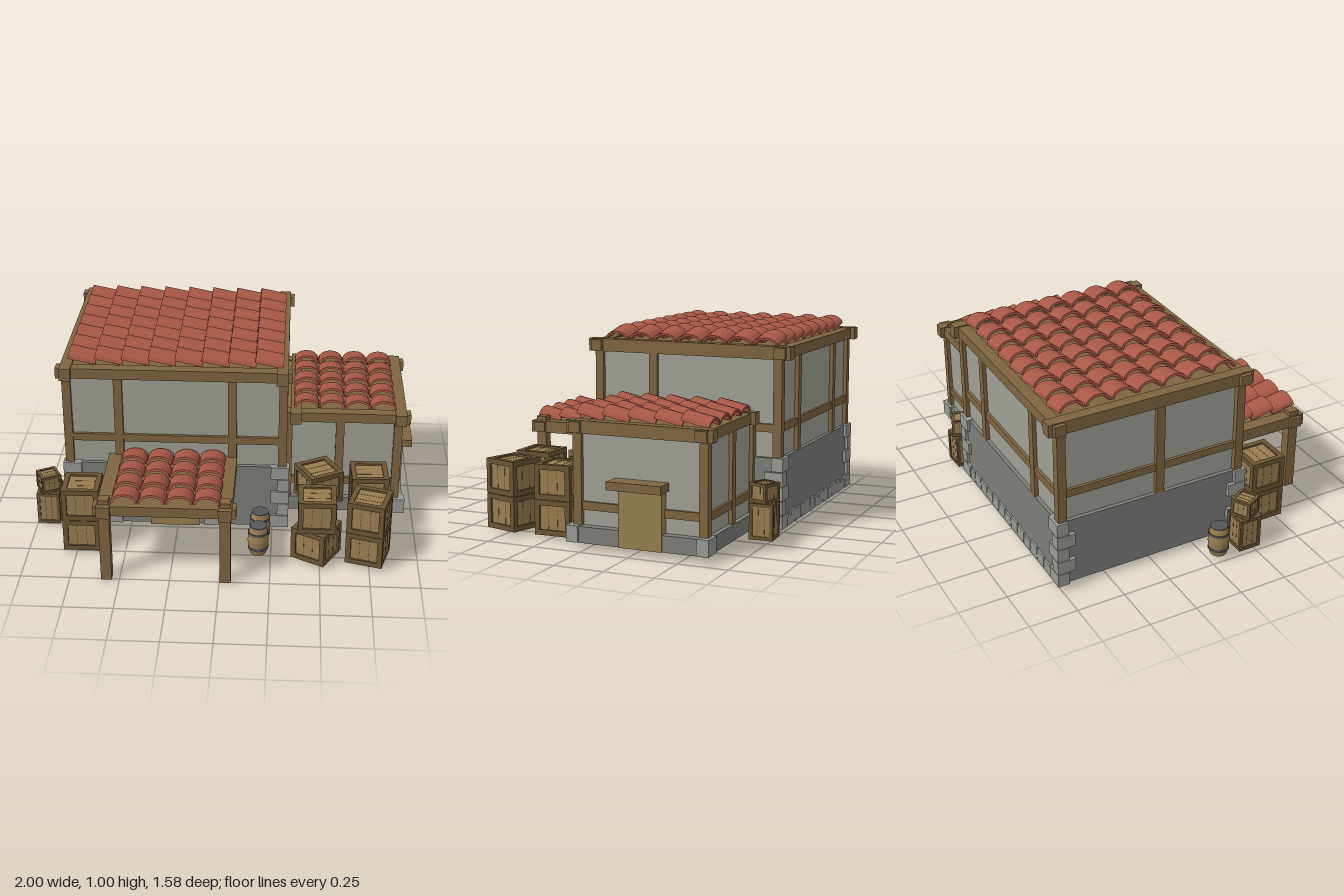
import * as THREE from 'three';

const mat = (color) => new THREE.MeshStandardMaterial({ color, flatShading: true });
const WOOD = mat(0x80653f), DOOR = mat(0x98804f), PLASTER = mat(0x9fa197), STONE = mat(0x7c7e79);
const QUOIN = mat(0x999b95), TILE = mat(0xa95846), CRATE = mat(0x9a7d50), FRAME = mat(0x6b5433), IRON = mat(0x55575a);
const FLOOR = mat(0x50524f);

function part(parent, name, geometry, material) {
  const m = new THREE.Mesh(geometry, material);
  m.name = name;
  parent.add(m);
  return m;
}

// Box given by its extents on each axis
function block(parent, name, material, x0, x1, y0, y1, z0, z1) {
  const m = part(parent, name, new THREE.BoxGeometry(x1 - x0, y1 - y0, z1 - z0), material);
  m.position.set((x0 + x1) / 2, (y0 + y1) / 2, (z0 + z1) / 2);
  return m;
}

function group(parent, name, x = 0, y = 0, z = 0, rotY = 0) {
  const g = new THREE.Group();
  g.name = name;
  g.position.set(x, y, z);
  g.rotation.y = rotY;
  parent.add(g);
  return g;
}

// Arched roof tile: low end at z = 0, body running along +z
function tileGeometry(length) {
  const s = new THREE.Shape(), n = 8;
  const ring = (w, h, i) => [w * Math.cos((Math.PI * i) / n), h * Math.sin((Math.PI * i) / n)];
  s.moveTo(...ring(0.066, 0.044, 0));
  for (let i = 1; i <= n; i++) s.lineTo(...ring(0.066, 0.044, i));
  for (let i = n; i >= 0; i--) s.lineTo(...ring(0.054, 0.032, i));
  return new THREE.ExtrudeGeometry(s, { depth: length, bevelEnabled: false });
}

// Overlapping tile courses; the raised end of every tile faces local +z
function tileRoof(parent, name, x, y, z, cols, rows, pitch, rotY) {
  const g = group(parent, name, x, y, z, rotY);
  const geo = tileGeometry(pitch + 0.008);
  for (let c = 0; c < cols; c++) {
    for (let r = 0; r < rows; r++) {
      const t = part(g, 'roofTile', geo, TILE);
      t.position.set((c - (cols - 1) / 2) * 0.134, 0, (r - rows / 2) * pitch);
      t.rotation.x = -0.2;
    }
  }
}

// Crossing top beams, with ends running past the corners
function topBeams(parent, x0, x1, z0, z1, y0, y1, over) {
  const w = 0.058;
  for (const z of [z0, z1 - w]) block(parent, 'topBeam', WOOD, x0 - over, x1 + over, y0 + 0.005, y1 - 0.005, z, z + w);
  for (const x of [x0, x1 - w]) block(parent, 'topBeam', WOOD, x, x + w, y0, y1, z0 - over, z1 + over);
}

// Staggered corner stones
function quoins(parent, x, z, sx, sz, y0, y1, count) {
  const h = (y1 - y0) / count;
  for (let i = 0; i < count; i++) {
    const lx = i % 2 ? 0.06 : 0.095, lz = i % 2 ? 0.095 : 0.06;
    const m = part(parent, 'cornerStone', new THREE.BoxGeometry(lx, h - 0.004, lz), QUOIN);
    m.position.set(x - (sx * lx) / 2, y0 + h * (i + 0.5), z - (sz * lz) / 2);
  }
}

function house(root) {
  const g = group(root, 'mainHouse');
  block(g, 'stoneBase', STONE, -0.82, 0.32, 0.03, 0.385, -0.755, 0.255);
  block(g, 'floor', FLOOR, -0.8, 0.3, 0.026, 0.035, -0.73, 0.23);
  block(g, 'plasterWalls', PLASTER, -0.8, 0.3, 0.38, 0.9, -0.735, 0.235);
  block(g, 'roofDeck', WOOD, -0.8, 0.3, 0.9, 0.925, -0.735, 0.235);
  // Timber frame
  for (const x of [-0.805, -0.543, 0.04, 0.298])
    for (const z of [-0.733, 0.233]) block(g, 'wallPost', WOOD, x - 0.022, x + 0.022, 0.38, 0.88, z - 0.022, z + 0.022);
  block(g, 'wallPost', WOOD, 0.28, 0.32, 0.38, 0.88, -0.09, -0.045);
  block(g, 'wallPost', WOOD, -0.82, -0.78, 0.38, 0.88, -0.23, -0.185);
  for (const z of [-0.735, 0.235]) block(g, 'wallRail', WOOD, -0.8, 0.3, 0.512, 0.552, z - 0.015, z + 0.015);
  for (const x of [-0.8, 0.3]) block(g, 'wallRail', WOOD, x - 0.015, x + 0.015, 0.512, 0.552, -0.73, 0.23);
  topBeams(g, -0.832, 0.32, -0.775, 0.27, 0.87, 0.935, 0.022);
  // Corner stones and the lower stone course
  for (const [x, sx] of [[-0.84, -1], [0.335, 1]])
    for (const [z, sz] of [[-0.77, -1], [0.27, 1]]) quoins(g, x, z, sx, sz, 0.03, 0.39, 5);
  for (let i = 0; i < 13; i++) {
    const x = -0.74 + i * 0.077;
    block(g, 'courseStone', QUOIN, x, x + 0.072, 0.03, 0.085 + (i % 3) * 0.008, -0.765, -0.75);
  }
  block(g, 'courseStone', QUOIN, -0.11, -0.022, 0.03, 0.1, 0.25, 0.268);
  block(g, 'courseStone', QUOIN, -0.61, -0.54, 0.03, 0.1, 0.25, 0.268);
  block(g, 'frontDoor', DOOR, -0.39, -0.13, 0.03, 0.315, 0.25, 0.275);
  block(g, 'doorLintel', WOOD, -0.4, -0.12, 0.31, 0.355, 0.25, 0.315);
  tileRoof(g, 'mainRoof', -0.25, 0.93, -0.254, 7, 8, 0.135, -Math.PI / 2);
}

function annex(root) {
  const g = group(root, 'annex');
  block(g, 'stoneBase', STONE, 0.3, 0.945, 0.03, 0.11, -0.625, 0.08);
  block(g, 'floor', FLOOR, 0.32, 0.92, 0.026, 0.035, -0.6, 0.05);
  block(g, 'plasterWalls', PLASTER, 0.3, 0.9, 0.1, 0.58, -0.6, 0.05);
  block(g, 'roofDeck', WOOD, 0.3, 0.9, 0.58, 0.607, -0.6, 0.05);
  for (const x of [0.325, 0.597, 0.9])
    for (const z of [-0.597, 0.05]) block(g, 'wallPost', WOOD, x - 0.022, x + 0.022, 0.1, 0.56, z - 0.022, z + 0.022);
  for (const z of [-0.6, 0.05]) block(g, 'wallRail', WOOD, 0.32, 0.9, 0.185, 0.225, z - 0.015, z + 0.015);
  block(g, 'wallRail', WOOD, 0.885, 0.915, 0.185, 0.225, -0.6, 0.05);
  topBeams(g, 0.335, 0.94, -0.625, 0.075, 0.555, 0.617, 0.022);
  // Corner stones
  quoins(g, 0.955, 0.095, 1, 1, 0.03, 0.115, 1);
  quoins(g, 0.955, -0.635, 1, -1, 0.03, 0.115, 1);
  block(g, 'sideDoor', DOOR, 0.9, 0.953, 0.03, 0.315, -0.4, -0.18);
  block(g, 'doorLintel', WOOD, 0.9, 0.997, 0.31, 0.35, -0.415, -0.138);
  tileRoof(g, 'annexRoof', 0.618, 0.613, -0.27, 4, 5, 0.134, 0);
}

function porch(root) {
  const g = group(root, 'porch');
  for (const x of [-0.565, 0.03]) {
    block(g, 'porchPost', WOOD, x - 0.027, x + 0.027, 0, 0.46, 0.703, 0.757);
    block(g, 'sideBeam', WOOD, x - 0.034, x + 0.034, 0.372, 0.435, 0.24, 0.785);
  }
  block(g, 'frontBeam', WOOD, -0.617, 0.083, 0.377, 0.43, 0.697, 0.762);
  block(g, 'roofDeck', WOOD, -0.54, 0.005, 0.4, 0.428, 0.24, 0.7);
  tileRoof(g, 'porchRoof', -0.26, 0.432, 0.512, 4, 4, 0.128, 0);
}

// Framed crate: recessed panels inside twelve edge bars, with board seams
function crate(root, x, y, z, w, h, rotY) {
  const g = group(root, 'crate', x, y, z, rotY);
  const a = w / 2, t = w * 0.14, i = w * 0.05;
  block(g, 'cratePanels', CRATE, i - a, a - i, i, h - i, i - a, a - i);
  for (const s of [-1, 1]) {
    const e = s * (a - t / 2);
    for (const q of [-1, 1]) {
      const f = q * (a - t / 2);
      block(g, 'crateUpright', FRAME, e - t / 2, e + t / 2, 0, h, f - t / 2, f + t / 2);
    }
    for (const y0 of [0, h - t]) {
      block(g, 'crateRail', FRAME, t - a, a - t, y0, y0 + t, e - t / 2, e + t / 2);
      block(g, 'crateRail', FRAME, e - t / 2, e + t / 2, y0, y0 + t, t - a, a - t);
    }
    const d = w * 0.13, b = a - i + 0.001;
    block(g, 'boardSeam', FRAME, s * d - 0.001, s * d + 0.001, t, h - t, -b, b);
    block(g, 'boardSeam', FRAME, -b, b, t, h - t, s * d - 0.001, s * d + 0.001);
    block(g, 'boardSeam', FRAME, t - a, a - t, i, h - i + 0.001, s * d - 0.001, s * d + 0.001);
  }
}

function barrel(root, x, z) {
  const g = group(root, 'barrel', x, 0.022, z);
  const profile = [[0, 0], [0.042, 0], [0.051, 0.04], [0.055, 0.08], [0.051, 0.12], [0.042, 0.158], [0, 0.158]];
  part(g, 'barrelStaves', new THREE.LatheGeometry(profile.map((p) => new THREE.Vector2(...p)), 14), CRATE);
  for (const y of [0.035, 0.12])
    part(g, 'barrelHoop', new THREE.CylinderGeometry(0.0535, 0.0535, 0.012, 14), IRON).position.y = y;
  part(g, 'barrelLid', new THREE.CylinderGeometry(0.044, 0.044, 0.006, 14), IRON).position.y = 0.157;
}

export function createModel() {
  const root = new THREE.Group();
  root.name = 'timberHouse';
  house(root);
  annex(root);
  porch(root);

  // Stacks of two crates: x, z, lower turn, upper turn
  const stacks = [
    [-0.72, 0.43, 0, 0], [0.49, 0.22, 0.05, 0.5], [0.75, 0.235, 0.04, 0.04],
    [0.48, 0.49, -0.5, 0], [0.745, 0.5, -0.28, -0.28],
  ];
  for (const [x, z, r0, r1] of stacks) {
    crate(root, x, 0.018, z, 0.19, 0.175, r0);
    crate(root, x, 0.195, z, 0.19, 0.175, r1);
  }
  for (const [x, z, r0, r1] of [[0.45, -0.72, 0.05, -0.4], [-0.933, 0.215, 0, 0.5]]) {
    crate(root, x, 0.018, z, 0.12, 0.178, r0);
    crate(root, x, 0.198, z, 0.105, 0.095, r1);
  }
  for (const [x, z] of [[0.19, 0.36], [0.185, 0.495], [-0.945, 0.06]]) barrel(root, x, z);
  return root;
}
